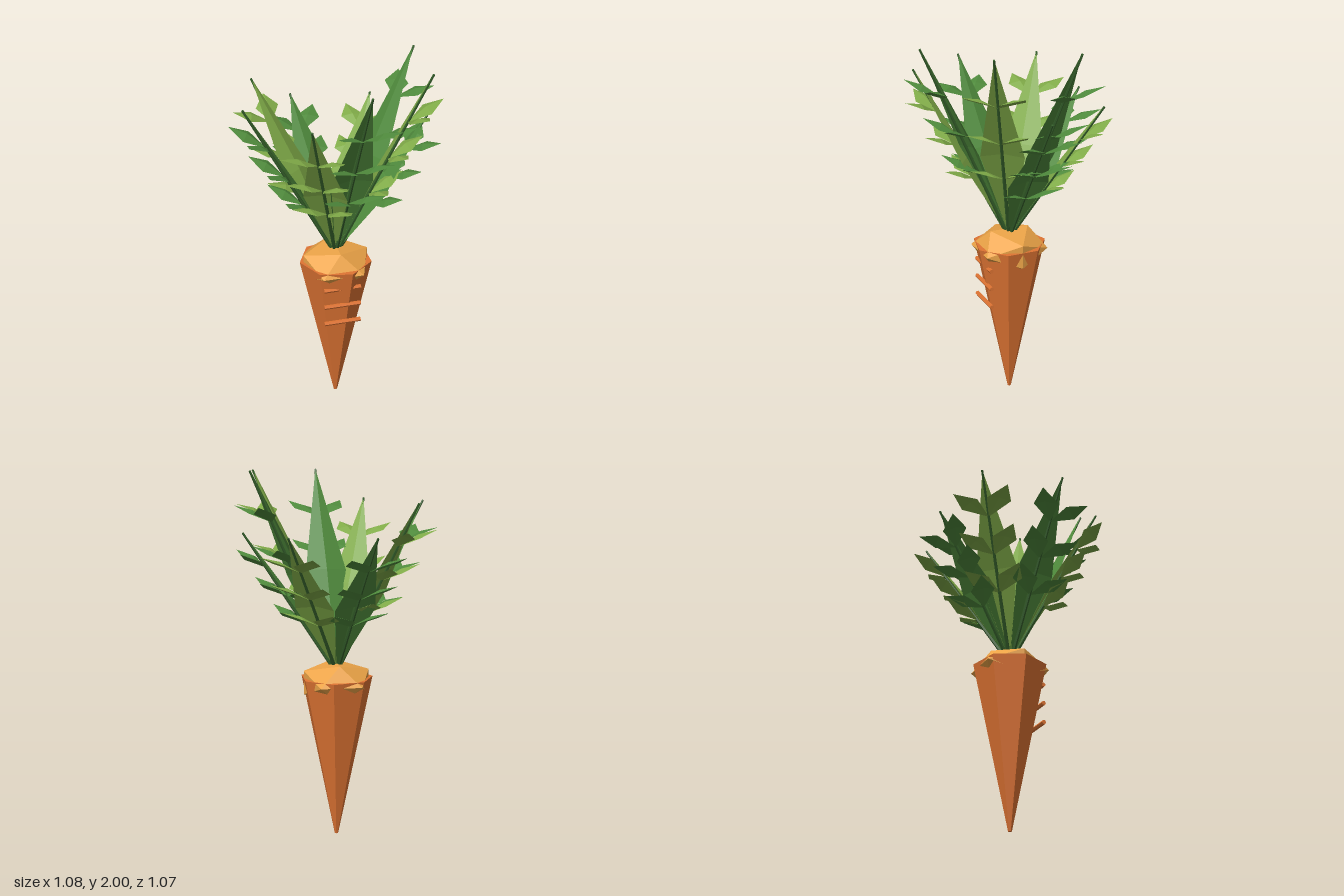
import * as THREE from 'three';

const material = (color) =>
  new THREE.MeshStandardMaterial({ color, flatShading: true, side: THREE.DoubleSide });
const v = (x, y, z) => new THREE.Vector3(x, y, z);

function addMesh(parent, name, geometry, mat) {
  const mesh = new THREE.Mesh(geometry, mat);
  mesh.name = name;
  parent.add(mesh);
  return mesh;
}

// Folded kite: two corners beside the middle and a raised midrib
function kiteGeometry(base, tip, half, lift, middle) {
  const mid = base.clone().lerp(tip, middle);
  const a = mid.clone().add(half);
  const b = mid.clone().sub(half);
  const rib = mid.clone().add(lift);
  const points = [base, a, rib, a, tip, rib, tip, b, rib, b, base, rib];
  const geometry = new THREE.BufferGeometry().setFromPoints(points);
  geometry.computeVertexNormals();
  return geometry;
}

// Thin tapered rod between two points
function rodGeometry(from, to, r0, r1, sides) {
  const dir = to.clone().sub(from);
  const geometry = new THREE.CylinderGeometry(r1, r0, dir.length(), sides);
  geometry.applyQuaternion(new THREE.Quaternion().setFromUnitVectors(v(0, 1, 0), dir.normalize()));
  const c = from.clone().lerp(to, 0.5);
  return geometry.translate(c.x, c.y, c.z);
}

// One leaf growing outward along its own +x
function createLeaf(height, leafMat, stemMat) {
  const leaf = new THREE.Group();
  leaf.name = 'leaf';
  const base = v(0, 0.92, 0);
  const tip = v(0.495, height, 0);
  const dir = tip.clone().sub(base).normalize();
  const inward = v(-dir.y, dir.x, 0);
  addMesh(leaf, 'stem', rodGeometry(base, tip, 0.011, 0.006, 5), stemMat);

  // Main blade, just above the stem
  const bladeBase = base.clone().addScaledVector(inward, 0.008);
  const bladeTip = tip.clone().addScaledVector(inward, 0.004);
  addMesh(leaf, 'blade',
    kiteGeometry(bladeBase, bladeTip, v(0, 0, 0.114), inward.clone().multiplyScalar(0.025), 0.49), leafMat);

  // Three pairs of side leaflets
  for (let i = 0; i < 3; i++) {
    const start = base.clone().lerp(tip, 0.76 - i * 0.197);
    for (const side of [-1, 1]) {
      const end = start.clone().add(v(0.143, 0.083, 0.152 * side));
      addMesh(leaf, 'leaflet',
        kiteGeometry(start, end, v(0.036, 0, -0.056 * side), v(-0.007, 0.016, 0), 0.54), leafMat);
    }
  }
  return leaf;
}

export function createModel() {
  const model = new THREE.Group();
  model.name = 'carrot';
  const orange = material(0xdf7433);
  const paleOrange = material(0xeba347);
  const greens = [material(0x4f8a3c), material(0x80ab48)];
  const stemGreen = material(0x35602b);

  // Seven-sided root
  addMesh(model, 'root',
    new THREE.CylinderGeometry(0.2, 0.01, 0.895, 7, 1, false, -Math.PI / 2).translate(0, 0.4475, 0), orange);

  // Faceted crown, with lower corners breaking through the root
  addMesh(model, 'crown',
    new THREE.IcosahedronGeometry(0.21, 0).rotateY(Math.PI / 2).scale(1, 0.586, 1).translate(0, 0.87, 0),
    paleOrange);

  // Ridges across the front
  for (const y of [0.785, 0.68, 0.573]) {
    addMesh(model, 'ridge', rodGeometry(v(-0.102, y, 0.149), v(0.102, y, 0.149), 0.012, 0.012, 6), orange);
  }

  // Leaves spiral round the crown in three heights
  for (let i = 0; i < 9; i++) {
    const leaf = createLeaf(1.68 + 0.16 * (i % 3), greens[i % 2], stemGreen);
    leaf.rotation.y = THREE.MathUtils.degToRad(i * 137.5);
    model.add(leaf);
  }
  return model;
}
